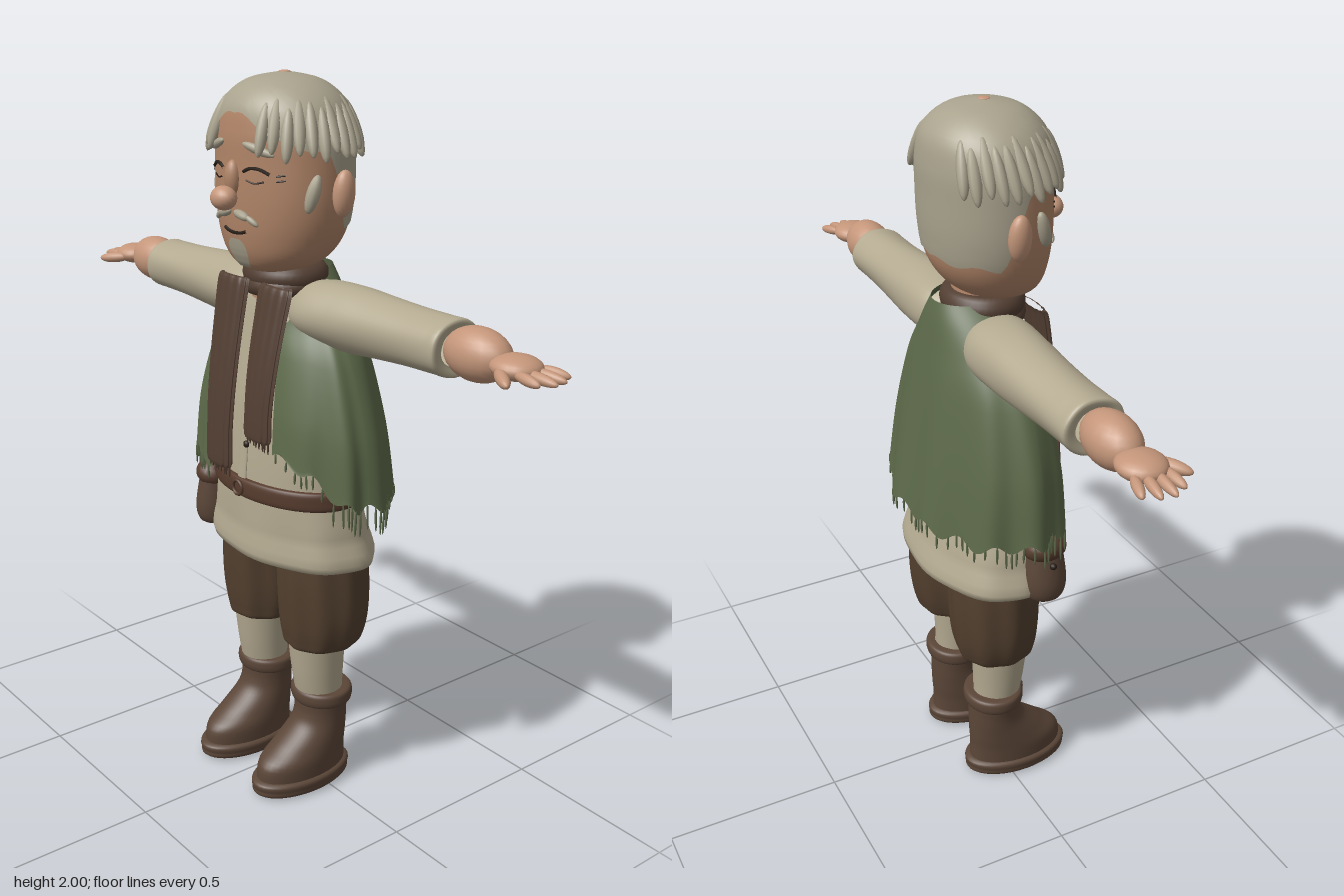
import * as THREE from 'three';
import { ParametricGeometry } from 'three/addons/geometries/ParametricGeometry.js';

const V = (x, y, z) => new THREE.Vector3(x, y, z);
const TAU = Math.PI * 2;
const step = THREE.MathUtils.smoothstep;

function paint(name, color, side = THREE.FrontSide) {
  const m = new THREE.MeshStandardMaterial({ color, side });
  m.name = name;
  return m;
}

// Smooth interpolation through rows of numbers, t in 0..1
function sample(rows, t) {
  const n = rows.length - 1, f = Math.min(Math.max(t, 0), 1) * n;
  const i = Math.min(Math.floor(f), n - 1), k = f - i;
  const a = rows[Math.max(i - 1, 0)], b = rows[i], c = rows[i + 1], d = rows[Math.min(i + 2, n)];
  return b.map((p, j) => {
    const v0 = (c[j] - a[j]) / 2, v1 = (d[j] - p) / 2;
    return p + v0 * k + (3 * (c[j] - p) - 2 * v0 - v1) * k * k + (2 * (p - c[j]) + v0 + v1) * k * k * k;
  });
}

// Stacked elliptical sections: [y, rx, rz, zCentre, xCentre]
function loft(rows, ripple = () => 1, around = 40, up = rows.length * 4) {
  return new ParametricGeometry((u, v, p) => {
    const [y, rx, rz, zc = 0, xc = 0] = sample(rows, v), a = u * TAU, r = ripple(a, v);
    p.set(xc + Math.sin(a) * rx * r, y, zc + Math.cos(a) * rz * r);
  }, around, up);
}

const ball = (x, y, z, rx, ry, rz, tilt = 0, n = 20) =>
  new THREE.SphereGeometry(1, n, Math.ceil(n * 0.7)).scale(rx, ry, rz).rotateZ(tilt).translate(x, y, z);

// Tapered ellipsoid strand between two points
function rod(a, b, r, n = 10) {
  const d = b.clone().sub(a), g = new THREE.SphereGeometry(1, n, n).scale(r, d.length() / 2, r);
  g.applyQuaternion(new THREE.Quaternion().setFromUnitVectors(V(0, 1, 0), d.clone().normalize()));
  const c = a.clone().add(b).multiplyScalar(0.5);
  return g.translate(c.x, c.y, c.z);
}

function mirrored(geo) {
  const g = geo.clone().scale(-1, 1, 1), ix = g.index.array;
  for (let i = 0; i < ix.length; i += 3) [ix[i], ix[i + 1]] = [ix[i + 1], ix[i]];
  return g;
}

const HEAD = [[1.49, .01, .01, .04], [1.505, .085, .078, .04], [1.54, .15, .122, .025], [1.6, .187, .15, .012],
  [1.68, .205, .16, .008], [1.78, .207, .162, .006], [1.86, .2, .161, .005], [1.93, .168, .145, .004],
  [1.98, .1, .09, .004], [2.0, .004, .004, .004]];

// Point on the head at angle a from the front, height y, pushed out by k
function onHead(a, y, k = 1) {
  let lo = 0, hi = 1;
  for (let i = 0; i < 22; i++) {
    const m = (lo + hi) / 2;
    if (sample(HEAD, m)[0] < y) lo = m; else hi = m;
  }
  const [, rx, rz, zc] = sample(HEAD, lo);
  return V(Math.sin(a) * rx * k, y, zc + Math.cos(a) * rz * k);
}
const onFace = (x, y, k = 1) => onHead(Math.asin(x / onHead(Math.PI / 2, y).x), y, k);
const faceLine = (pts, r, k = 1.01) =>
  new THREE.TubeGeometry(new THREE.CatmullRomCurve3(pts.map(([x, y]) => onFace(x, y, k))), 12, r, 6);

// Cape rows: [y, half width, front depth, back depth]
const CAPE = [[1.5, .1, .045, .14], [1.45, .15, .055, .152], [1.38, .21, .075, .163], [1.28, .28, .115, .18],
  [1.1, .342, .15, .207], [.93, .362, .163, .232]];
function onCape(a, v, p) {
  const [y, rx, fz, bz] = sample(CAPE, v), c = Math.cos(a), s = Math.sin(a);
  const fold = 1 + 0.03 * v * v * Math.sin(a * 11 + 1);
  const hem = -0.035 * (1 - c) / 2 + 0.1 * step(s, -0.1, 0.3) * step(c, 0.3, 0.95) + 0.014 * Math.sin(a * 17);
  return p.set(s * rx * fold, y + hem * v ** 4, c * (c > 0 ? fz : bz) * fold);
}

export function createModel() {
  const model = new THREE.Group();
  const skin = paint('skin', 0xc4967a), face = paint('face skin', 0xb18568);
  const hair = paint('grey hair', 0xa9a28d), cream = paint('cream linen', 0xb3a990, THREE.DoubleSide);
  const green = paint('green wool', 0x5d6a4a, THREE.DoubleSide), scarf = paint('scarf brown', 0x533f33);
  const breeches = paint('breeches brown', 0x53402f), leather = paint('boot leather', 0x5b4638);
  const belt = paint('belt leather', 0x573c2e), dark = paint('dark line', 0x2a2019);

  const add = (name, geo, mat, both = false) => {
    for (const g of both ? [geo, mirrored(geo)] : [geo]) {
      const m = new THREE.Mesh(g, mat);
      m.name = name;
      model.add(m);
    }
  };

  // Boots, stockings and breeches
  const X = 0.13;
  add('sole', loft([[0, .01, .01, .04, X], [.002, .08, .145, .045, X], [.025, .092, .162, .046, X],
    [.045, .088, .157, .046, X], [.052, .05, .1, .046, X]]), leather, true);
  add('boot', loft([[.04, .082, .148, .045, X], [.09, .083, .143, .042, X], [.13, .08, .118, .015, X],
    [.18, .075, .087, -.017, X], [.22, .074, .077, -.027, X], [.27, .078, .077, -.028, X]]), leather, true);
  add('bootCuff', loft([[.245, .07, .07, -.03, X], [.252, .088, .082, -.03, X], [.272, .092, .087, -.03, X],
    [.29, .087, .082, -.03, X], [.293, .06, .06, -.03, X]]), leather, true);
  add('stocking', loft([[.27, .067, .067, -.02, X], [.35, .073, .075, -.014, X], [.47, .082, .085, -.01, X]]), cream, true);
  add('breechesLeg', loft([[.45, .05, .05, -.025, .133], [.438, .095, .1, -.025, .133], [.47, .113, .115, -.028, .135],
    [.54, .124, .126, -.03, .136], [.64, .122, .132, -.03, .134], [.76, .115, .13, -.03, .125]],
    (a, v) => 1 + 0.022 * Math.sin(a * 9) * step(v, .05, .3), 72), breeches, true);

  // Tunic, placket, buttons and belt
  add('tunic', loft([[.735, .05, .05, -.02], [.7, .28, .176, -.025], [.8, .272, .168, -.015], [.9, .25, .155, -.004],
    [1.0, .24, .145, 0], [1.15, .22, .13, 0], [1.3, .2, .112, -.01], [1.4, .17, .1, -.02], [1.48, .09, .07, -.02]],
    (a, v) => 1 + 0.012 * Math.sin(a * 8) * step(v, .08, .13) * (1 - step(v, .2, .38)), 64), cream);
  add('placket', loft([[.93, .018, .006, .151], [1.0, .018, .006, .145], [1.15, .018, .006, .13],
    [1.3, .018, .006, .102], [1.4, .018, .006, .08]]), cream);
  [[1.27, .117], [1.185, .128], [1.105, .14], [1.03, .147]].forEach(([y, z]) =>
    add('button', ball(.015, y, z, .01, .01, .007, 0, 12), dark));
  add('belt', loft([[.877, .23, .14, -.004], [.88, .258, .164, -.004], [.905, .261, .168, -.003],
    [.93, .256, .163, -.002], [.933, .23, .14, -.002]], undefined, 56), belt);
  add('buckle', new THREE.TorusGeometry(.02, .005, 8, 20).translate(0, .905, .167), belt);

  // Hip pouch
  add('pouch', loft([[.69, .01, .01, .05, -.275], [.695, .043, .048, .05, -.275], [.74, .054, .062, .05, -.275],
    [.82, .046, .055, .05, -.27], [.87, .034, .045, .05, -.265], [.88, .01, .01, .05, -.265]]), leather);
  add('pouchFlap', ball(-.272, .845, .05, .054, .042, .062, -.3), belt);
  add('pouchButton', ball(-.322, .81, .05, .01, .01, .01, 0, 10), dark);

  // Open-fronted cape with a ragged hem
  add('cape', new ParametricGeometry((u, v, p) => onCape(TAU - .38 - u * (TAU - .76), v, p), 150, 28).scale(1, 1, 1), green);
  for (let i = 0; i < 64; i++) {
    const a = .42 + (i + .4 * Math.sin(i * 7.3)) / 64 * (TAU - .84);
    const top = onCape(a, .985, V());
    const drop = .03 + .022 * Math.abs(Math.sin(i * 12.7)) + (Math.abs(Math.sin(a)) > .85 ? .025 : 0);
    add('capeFringe', rod(top, top.clone().add(V(.004 * Math.sin(i * 5), -drop, 0)), .0035, 5), green);
  }

  // Scarf: neck roll and two hanging ends
  add('scarfRoll', new THREE.TorusGeometry(.092, .036, 14, 40).rotateX(Math.PI / 2).scale(1, 1, .85).translate(0, 1.482, 0), scarf);
  add('scarfRollLower', new THREE.TorusGeometry(.1, .026, 12, 40).rotateX(Math.PI / 2).scale(1, 1, .85)
    .rotateZ(.05).translate(0, 1.455, .004), scarf);
  const scarfEnd = (x0, x1, yb) => {
    const rows = [[1.475, .055, .012, .1, x0]];
    for (let i = 0; i <= 5; i++) {
      const t = i / 5;
      rows.push([1.46 + (yb - 1.46) * t, .066 - .014 * t, .014, .11 + .056 * Math.sin(t * 1.6), x0 + (x1 - x0) * t]);
    }
    rows.push([yb, .01, .004, .165, x1]);
    add('scarfEnd', loft(rows.reverse(), a => 1 + .06 * Math.cos(a * 12), 96), scarf);
    for (let i = 0; i < 8; i++) {
      const x = x1 - .045 + i * .0128;
      add('scarfFringe', rod(V(x, yb + .01, .165), V(x + .003 * Math.sin(i * 4), yb - .022 - .014 * Math.abs(Math.sin(i * 3)), .165), .003, 5), scarf);
    }
  };
  scarfEnd(-.085, -.085, .955);
  scarfEnd(.098, .092, 1.07);

  // Sleeves, forearms and hands
  add('sleeve', loft([[.06, .06, .07, -.02], [.14, .083, .1, -.022], [.26, .087, .096, -.027], [.36, .081, .089, -.03],
    [.48, .074, .083, -.031], [.58, .072, .083, -.031], [.62, .07, .081, -.031], [.618, .045, .05, -.031]],
    (a, v) => 1 + .012 * Math.sin(a * 5 + v * 6)).rotateZ(-Math.PI / 2).translate(0, 1.4, 0), cream, true);
  add('forearm', ball(.69, 1.403, -.03, .098, .066, .062), skin, true);
  add('palm', ball(.81, 1.4, -.03, .065, .03, .06), skin, true);
  for (let i = 0; i < 4; i++) {
    const z = -.078 + i * .031, reach = [.915, .935, .94, .92][i];
    add('finger', rod(V(.835, 1.398, z * .8 - .006), V(reach, 1.388, z * 1.15 - .004), .0135, 12), skin, true);
  }
  add('thumb', rod(V(.79, 1.395, .01), V(.872, 1.385, .065), .016, 12), skin, true);

  // Head, ears and nose
  add('neck', new THREE.CylinderGeometry(.08, .09, .12, 28).translate(0, 1.48, 0), face);
  add('head', loft(HEAD, undefined, 56, 48), face);
  add('ear', ball(.222, 1.715, -.012, .026, .06, .03, -.08), skin, true);
  add('noseBridge', ball(0, 1.745, .168, .024, .046, .022), face);
  add('noseTip', ball(0, 1.697, .198, .04, .031, .032), skin);

  // Hair cap, crown spot, side locks
  const hairline = a => {
    const b = Math.abs(a > Math.PI ? a - TAU : a);
    return 1.905 - .08 * step(b, 0, 1.1) - .2 * step(b, 1.35, 1.95) + .006 * Math.sin(b * 9);
  };
  add('hairCap', new ParametricGeometry((u, v, p) => {
    const a = u * TAU, low = hairline(a);
    p.copy(onHead(a, low + (1.9985 - low) * Math.sin(v * Math.PI / 2), 1.025));
  }, 72, 24), hair);
  add('crownSpot', ball(0, 1.998, .004, .016, .004, .016, 0, 16), skin);
  for (let i = 0; i < 12; i++) {
    const a = .5 + i * .175, y = 1.865 + .012 * Math.sin(i * 2.3);
    add('hairLock', rod(onHead(a + .06, y + .07, 1.0), onHead(a - .03, y - .06, 1.12), .0165), hair, true);
  }
  add('sideburn', rod(onHead(1.28, 1.765, 1.02), onHead(1.13, 1.67, 1.04), .018), hair, true);

  // Brows, closed eyes, moustache, mouth and chin beard
  add('eyebrow', rod(onFace(.04, 1.835, 1.02), onFace(.128, 1.808, 1.03), .012), hair, true);
  add('closedEye', faceLine([[.042, 1.765], [.062, 1.774], [.09, 1.774], [.118, 1.762]], .0045), dark, true);
  add('eyeCrease', faceLine([[.05, 1.744], [.075, 1.738], [.104, 1.744]], .0022, 1.005), dark, true);
  for (const y of [1.757, 1.744]) add('eyeWrinkle', faceLine([[.132, y + .002], [.152, y + .006]], .0022, 1.005), dark, true);
  add('moustache', rod(onFace(.008, 1.662, 1.03), onFace(.06, 1.648, 1.04), .012), hair, true);
  add('moustacheTip', rod(onFace(.05, 1.655, 1.04), onFace(.085, 1.632, 1.04), .008), hair, true);
  add('mouth', faceLine([[-.046, 1.614], [-.02, 1.607], [.02, 1.607], [.046, 1.614]], .0045), dark);
  add('chinBeard', new ParametricGeometry((u, v, p) => {
    const w = .042 * (1 - .45 * (1 - v) ** 2) * Math.sqrt(1 - .8 * v ** 4);
    p.copy(onFace((u - .5) * 2 * w, 1.513 + .077 * v, 1.03));
  }, 14, 12), hair);
  return model;
}
